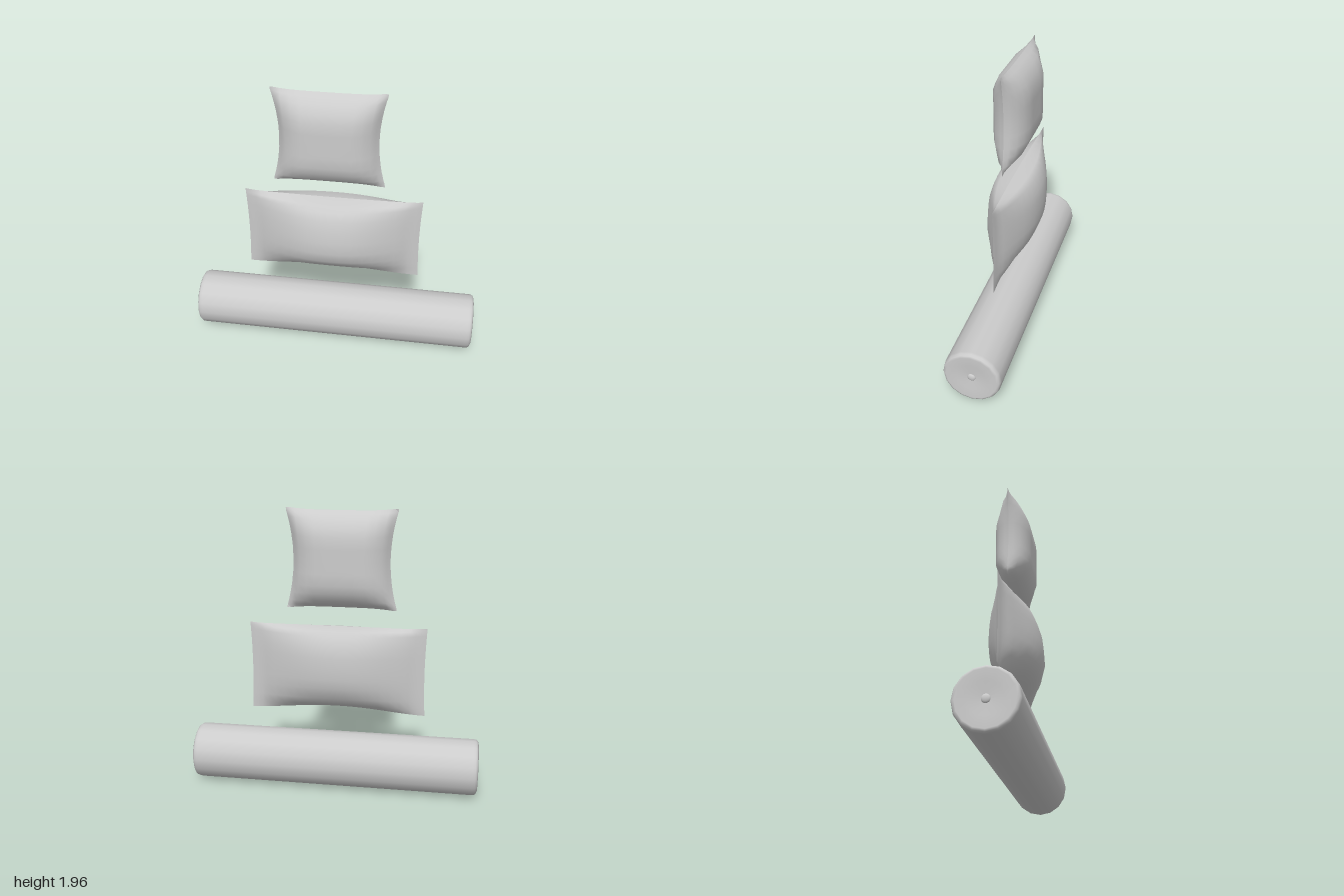
import * as THREE from 'three';

const material = new THREE.MeshStandardMaterial({ color: 0xcccccc, side: THREE.DoubleSide });

// One half of a cushion: a grid on the given lines, puffed out by across(u) * up(v).
// across and up are lists of [position, fullness]; place(u, v) gives the flat outline.
function cushionSide(name, across, up, depth, place, sign) {
  const position = [], index = [];
  const columns = across.length;
  up.forEach(([v, b]) => across.forEach(([u, a]) => {
    const [x, y, z] = place(u, v);
    position.push(x, y, z + sign * depth * a * b);
  }));
  for (let j = 0; j < up.length - 1; j++) {
    for (let i = 0; i < columns - 1; i++) {
      const a = j * columns + i, b = a + 1, c = b + columns, d = a + columns;
      if (sign > 0) index.push(a, b, c, a, c, d);
      else index.push(a, c, b, a, d, c);
    }
  }
  const geometry = new THREE.BufferGeometry();
  geometry.setAttribute('position', new THREE.Float32BufferAttribute(position, 3));
  geometry.setIndex(index);
  geometry.computeVertexNormals();
  const mesh = new THREE.Mesh(geometry, material);
  mesh.name = name;
  return mesh;
}

// Repeats the positive half of a profile on the negative side.
const mirrored = (half) => [
  ...half.slice(1).reverse().map(([t, f]) => [-t, f]),
  ...half,
];

function squareCushion() {
  const group = new THREE.Group();
  group.name = 'squareCushion';
  const profile = mirrored([[0, 1], [0.25, 1], [0.49, 0.99], [0.66, 0.82], [0.83, 0.6], [0.93, 0.25], [1, 0]]);
  // Edges pinch in at the middle, corner tips are slightly blunted
  const place = (u, v) => {
    const tip = Math.abs(u * v) === 1 ? 0.985 : 1;
    return [
      -0.042 + u * tip * (0.322 + 0.052 * v * v),
      1.628 + v * tip * (0.322 + 0.018 * u ** 4),
      -0.002,
    ];
  };
  group.add(
    cushionSide('cushionFront', profile, profile, 0.12, place, 1),
    cushionSide('cushionBack', profile, profile, 0.12, place, -1),
  );
  return group;
}

function longPillow() {
  const group = new THREE.Group();
  group.name = 'longPillow';
  // Flat flange at both ends, full in the middle
  const across = mirrored([
    [0, 1], [0.12, 0.985], [0.25, 0.93], [0.37, 0.83], [0.48, 0.71], [0.6, 0.55],
    [0.72, 0.38], [0.82, 0.22], [0.88, 0.11], [0.94, 0.06], [1, 0],
  ]);
  const frontUp = [
    [0, 0], [0.09, 0.08], [0.17, 0.125], [0.26, 0.166], [0.4, 0.188], [0.55, 0.183],
    [0.7, 0.173], [0.82, 0.152], [0.92, 0.128], [0.96, 0.09], [1, 0],
  ];
  const backUp = [
    [0, 0], [0.07, 0.075], [0.17, 0.128], [0.31, 0.158], [0.42, 0.167], [0.55, 0.171],
    [0.68, 0.167], [0.79, 0.158], [0.92, 0.128], [0.97, 0.09], [1, 0],
  ];
  // Lower edge arches up in the middle, corners flick up slightly
  const place = (u, v) => {
    const bottom = 0.565 + 0.035 * (1 - u * u) ** 2;
    const top = 1.177 + 0.008 * u ** 10;
    return [
      -0.018 + u * (0.593 + 0.01 * (2 * v - 1) ** 2),
      bottom + v * (top - bottom),
      -0.01 - 0.01 * u * u,
    ];
  };
  group.add(
    cushionSide('pillowFront', across, frontUp, 1, place, 1),
    cushionSide('pillowBack', across, backUp, 1, place, -1),
  );
  return group;
}

function bolster() {
  const group = new THREE.Group();
  group.name = 'bolster';
  // Rounded rims and slightly dished ends
  const end = [[0.194, 0.965], [0.192, 0.982], [0.184, 0.994], [0.17, 1], [0.1, 0.993], [0, 0.986]];
  const points = [
    ...end.slice().reverse().map(([r, h]) => new THREE.Vector2(r, -h)),
    ...end.map(([r, h]) => new THREE.Vector2(r, h)),
  ];
  const body = new THREE.Mesh(new THREE.LatheGeometry(points, 16), material);
  body.name = 'bolsterBody';
  body.rotation.z = -Math.PI / 2;
  group.add(body);

  // Button in the centre of each end
  for (const side of [-1, 1]) {
    const button = new THREE.Mesh(new THREE.SphereGeometry(0.027, 16, 10), material);
    button.name = side > 0 ? 'leftButton' : 'rightButton';
    button.scale.x = 0.45;
    button.position.x = side * 0.986;
    group.add(button);
  }
  group.position.y = 0.195;
  return group;
}

export function createModel() {
  const model = new THREE.Group();
  model.name = 'cushionSet';
  model.add(bolster(), longPillow(), squareCushion());
  return model;
}
